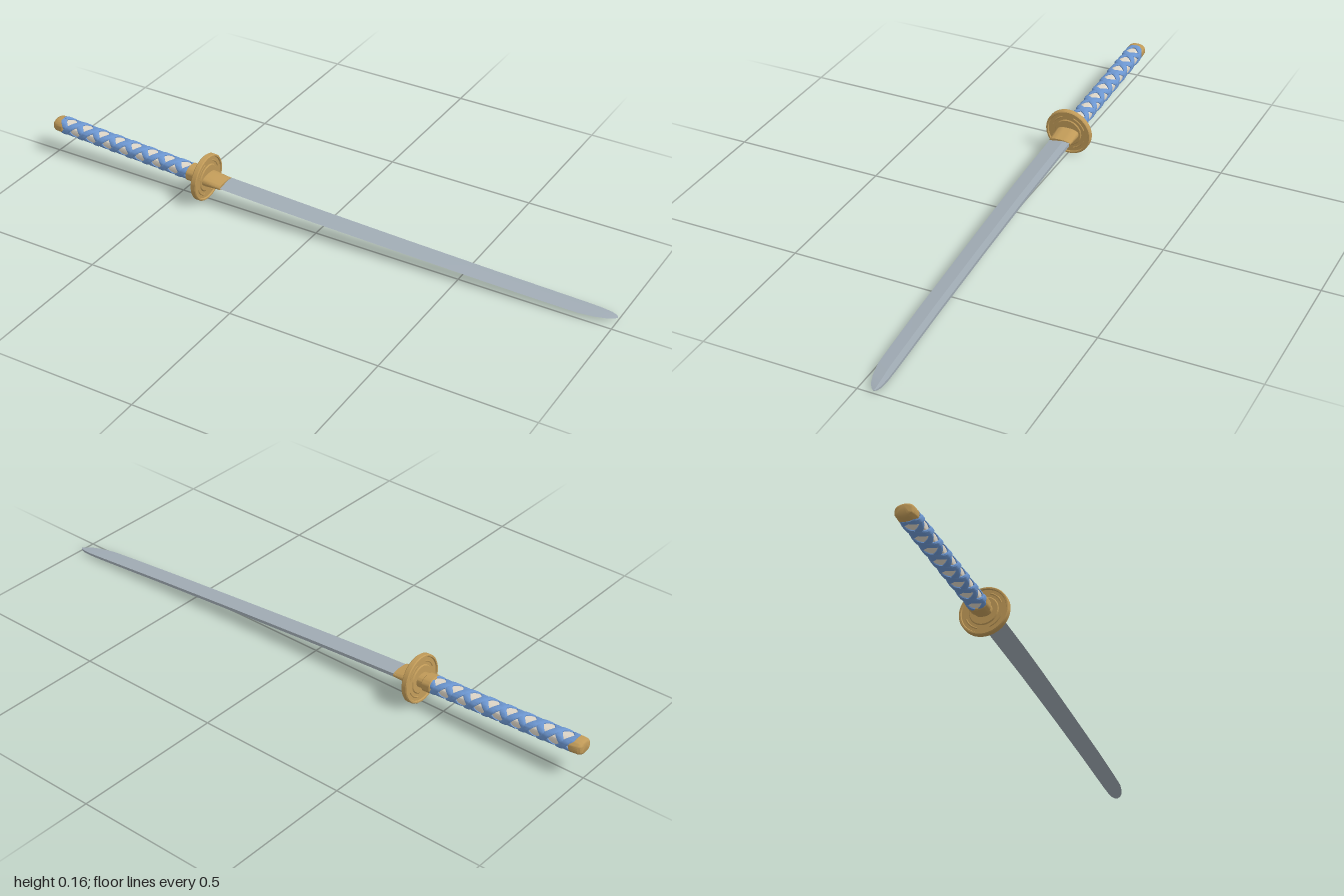
import * as THREE from 'three';
import { toCreasedNormals } from 'three/addons/utils/BufferGeometryUtils.js';

const mat = (name, color) => {
  const m = new THREE.MeshStandardMaterial({ color });
  m.name = name;
  return m;
};

// Joins a row of closed rings of [x, y, z] points and caps both ends
function loft(rings, crease = 0.6) {
  const pos = [], idx = [], n = rings[0].length;
  rings.forEach(r => r.forEach(p => pos.push(...p)));
  for (let i = 0; i < rings.length - 1; i++) {
    for (let j = 0; j < n; j++) {
      const k = (j + 1) % n, a = i * n + j, b = i * n + k;
      idx.push(a, b, a + n, b, b + n, a + n);
    }
  }
  const last = (rings.length - 1) * n;
  for (let j = 1; j < n - 1; j++) {
    idx.push(0, j + 1, j);
    idx.push(last, last + j, last + j + 1);
  }
  const g = new THREE.BufferGeometry();
  g.setAttribute('position', new THREE.Float32BufferAttribute(pos, 3));
  g.setIndex(idx);
  return toCreasedNormals(g, crease);
}

// Point on the rounded oval of the grip
function ovalPoint(x, a, hy, hz) {
  const f = v => Math.sign(v) * Math.pow(Math.abs(v), 0.85);
  return [x, hy * f(Math.cos(a)), hz * f(Math.sin(a))];
}

// Oval tube from stations [x, half height, half depth]
function ovalLoft(stations) {
  return loft(stations.map(([x, hy, hz]) =>
    Array.from({ length: 32 }, (_, j) => ovalPoint(x, j / 32 * Math.PI * 2, hy, hz))));
}

// Flat band wound round the grip
function band(x0, x1, phase, dir, lift) {
  const pitch = 0.13, half = 0.0135, steps = 130, rings = [];
  for (let i = 0; i <= steps; i++) {
    const x = x0 + (x1 - x0) * i / steps;
    const a = phase + dir * (x - x0) / pitch * Math.PI * 2;
    const p = (dx, h) => ovalPoint(THREE.MathUtils.clamp(x + dx, x0, x1), a, 0.02 + h, 0.027 + h);
    const ring = [p(-half, -0.001), p(half, -0.001), p(half, lift * 0.6), p(half * 0.6, lift),
      p(-half * 0.6, lift), p(-half, lift * 0.6)];
    rings.push(dir > 0 ? ring : ring.reverse());
  }
  return loft(rings, 0.5);
}

export function createModel() {
  const steel = mat('steel', 0xa0abb4);
  const gold = mat('gold', 0xc09a58);
  const blue = mat('blue wrap', 0x6c96d0);
  const cream = mat('cream grip', 0xded6c8);

  const sword = new THREE.Group();
  sword.name = 'sword';
  const add = (name, geometry, material, parent = sword) => {
    const m = new THREE.Mesh(geometry, material);
    m.name = name;
    parent.add(m);
    return m;
  };

  // Blade: [x, spine z, edge z, half thickness], thick at the spine and sharp at the edge
  const stations = [
    [0.04, -0.034, 0.036, 0.0075], [0.24, -0.036, 0.034, 0.0074], [0.41, -0.038, 0.030, 0.0072],
    [0.71, -0.045, 0.020, 0.0068], [1.01, -0.054, 0.009, 0.0064], [1.22, -0.062, -0.001, 0.006],
    [1.30, -0.065, -0.006, 0.0058], [1.35, -0.066, -0.017, 0.0052], [1.385, -0.064, -0.030, 0.0045],
    [1.402, -0.059, -0.042, 0.003], [1.408, -0.053, -0.050, 0.001],
  ];
  add('blade', loft(stations.map(([x, s, e, t]) => {
    const ridge = s + (e - s) * 0.32;
    return [[x, t * 0.75, s], [x, t, ridge], [x, 0, e], [x, -t, ridge], [x, -t * 0.75, s]];
  }), 0.2), steel);

  // Collar that holds the blade
  add('bladeCollar', ovalLoft([
    [0.0, 0.018, 0.039], [0.02, 0.018, 0.039], [0.045, 0.014, 0.038], [0.074, 0.011, 0.037],
  ]), gold);

  // Round guard with raised rim and raised inner ring on both faces
  const guard = new THREE.Group();
  guard.name = 'guard';
  sword.add(guard);
  const half = [[0, 0.009], [0.044, 0.009], [0.047, 0.006], [0.070, 0.006],
    [0.072, 0.010], [0.0765, 0.010], [0.079, 0.007]];
  const profile = [...half.map(([r, h]) => [r, -h]), ...half.reverse()]
    .map(([r, h]) => new THREE.Vector2(r, h));
  add('guardDisc', toCreasedNormals(new THREE.LatheGeometry(profile, 64).rotateZ(-Math.PI / 2), 0.5), gold, guard);
  for (const side of [-1, 1]) {
    for (let i = 0; i < 4; i++) {
      const arc = new THREE.TorusGeometry(0.058, 0.0026, 6, 16, 0.9);
      arc.rotateZ(Math.PI / 4 - 0.45 + i * Math.PI / 2).rotateY(Math.PI / 2);
      add('guardArc', arc, gold, guard).position.x = side * 0.006;
    }
  }

  // Grip core and crossed wrapping
  const x0 = -0.565, x1 = -0.045;
  add('gripCore', ovalLoft([[x0, 0.02, 0.027], [x1, 0.02, 0.027]]), cream);
  const wrap = new THREE.Group();
  wrap.name = 'gripWrap';
  sword.add(wrap);
  for (const phase of [0, Math.PI]) {
    add('wrapBand', band(x0, x1, phase, 1, 0.0042), blue, wrap);
    add('wrapBand', band(x0, x1, phase, -1, 0.0056), blue, wrap);
  }

  // Gold fittings at both ends of the grip
  add('frontFitting', ovalLoft([
    [-0.061, 0.023, 0.030], [-0.058, 0.026, 0.033], [-0.031, 0.026, 0.033], [-0.028, 0.023, 0.030],
  ]), gold);
  add('gripSpacer', ovalLoft([[-0.03, 0.021, 0.028], [0, 0.021, 0.028]]), gold);
  add('pommel', ovalLoft([
    [-0.592, 0.014, 0.020], [-0.589, 0.019, 0.026], [-0.582, 0.0225, 0.030],
    [-0.553, 0.0235, 0.031], [-0.55, 0.021, 0.028],
  ]), gold);

  // Lay the sword down, resting on guard and blade tip
  sword.position.set(-0.408, 0.0795, 0);
  sword.rotation.z = -0.05;
  const model = new THREE.Group();
  model.name = 'model';
  model.add(sword);
  return model;
}
